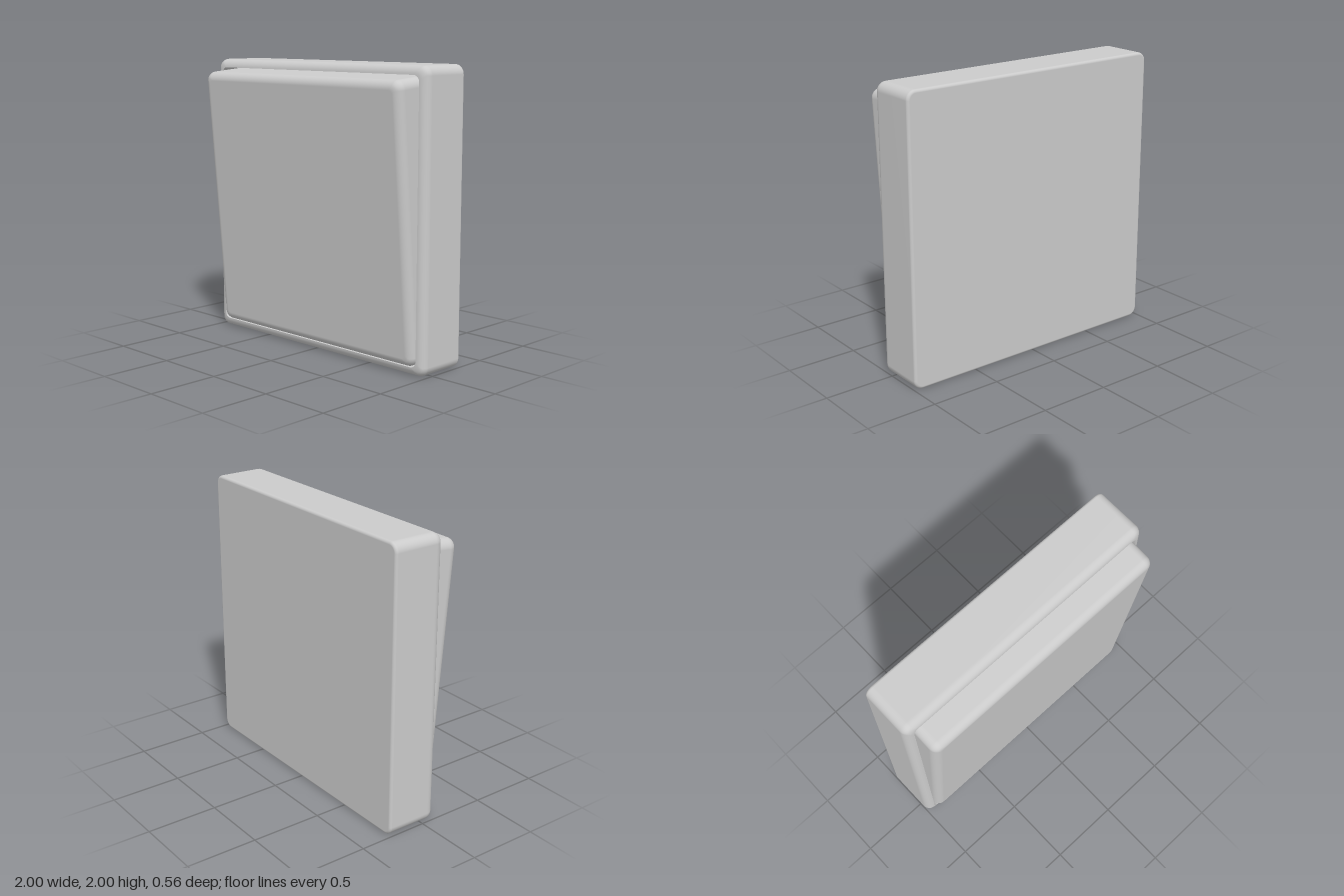
import * as THREE from 'three';

const material = new THREE.MeshStandardMaterial({ color: 0xcccccc });

// Points of a rounded rectangle, counter-clockwise seen from +z
function roundedRing(hx, hy, r, z, steps = 8) {
  const points = [];
  for (let c = 0; c < 4; c++) {
    const sx = c === 0 || c === 3 ? 1 : -1;
    const sy = c < 2 ? 1 : -1;
    for (let i = 0; i <= steps; i++) {
      const a = (c + i / steps) * Math.PI / 2;
      points.push([sx * (hx - r) + r * Math.cos(a), sy * (hy - r) + r * Math.sin(a), z]);
    }
  }
  return points;
}

// Skin over a sequence of rings, with optional flat caps at both ends
function loft(rings, capStart, capEnd) {
  const n = rings[0].length;
  const positions = rings.flat(2);
  const index = [];
  for (let k = 0; k < rings.length - 1; k++) {
    for (let i = 0; i < n; i++) {
      const a = k * n + i, b = k * n + (i + 1) % n;
      index.push(a, b, b + n, a, b + n, a + n);
    }
  }
  const cap = (k, flip) => {
    const centre = positions.length / 3;
    positions.push(0, 0, rings[k][0][2]);
    for (let i = 0; i < n; i++) {
      const a = k * n + i, b = k * n + (i + 1) % n;
      index.push(centre, flip ? b : a, flip ? a : b);
    }
  };
  if (capStart) cap(0, true);
  if (capEnd) cap(rings.length - 1, false);
  const geometry = new THREE.BufferGeometry();
  geometry.setAttribute('position', new THREE.Float32BufferAttribute(positions, 3));
  geometry.setIndex(index);
  geometry.computeVertexNormals();
  return geometry;
}

// Rings of a slab with a rounded back edge and a rounded front edge
function slabRings(hx, hy, zBack, zFront, rBack, rFront, corner, minCorner) {
  const rings = [];
  const steps = 8;
  const add = (inset, z) =>
    rings.push(roundedRing(hx - inset, hy - inset, Math.max(corner - inset, minCorner), z));
  for (let i = 0; i <= steps; i++) {
    const a = i / steps * Math.PI / 2;
    add(rBack * (1 - Math.sin(a)), zBack + rBack * (1 - Math.cos(a)));
  }
  for (let i = 0; i <= steps; i++) {
    const a = i / steps * Math.PI / 2;
    add(rFront * (1 - Math.cos(a)), zFront - rFront * (1 - Math.sin(a)));
  }
  return rings;
}

function addMesh(parent, name, geometry) {
  const mesh = new THREE.Mesh(geometry, material);
  mesh.name = name;
  parent.add(mesh);
  return mesh;
}

export function createModel() {
  const model = new THREE.Group();
  model.name = 'wallSwitch';

  // Housing: rounded outside, closed at the back
  const housing = new THREE.Group();
  housing.name = 'housing';
  model.add(housing);
  const outer = slabRings(1, 1, -0.28, 0.1, 0.02, 0.06, 0.065, 0.045);
  addMesh(housing, 'housingShell', loft(outer, true, false));

  // Recess behind the rocker: straight walls and a flat floor
  const opening = z => roundedRing(0.94, 0.94, 0.045, z);
  addMesh(housing, 'recessWalls', loft([opening(0.1), opening(-0.22)], false, false));
  addMesh(housing, 'recessFloor', loft([opening(-0.22), roundedRing(0.9, 0.9, 0.04, -0.22)], false, true));
  housing.position.y = 1;

  // Rocker: tilted so that its top stands forward
  const plate = slabRings(0.932, 0.93, -0.12, 0.205, 0.01, 0.06, 0.065, 0.03);
  const rocker = addMesh(model, 'rocker', loft(plate, true, true));
  rocker.position.y = 1;
  rocker.rotation.x = THREE.MathUtils.degToRad(4.8);

  return model;
}
